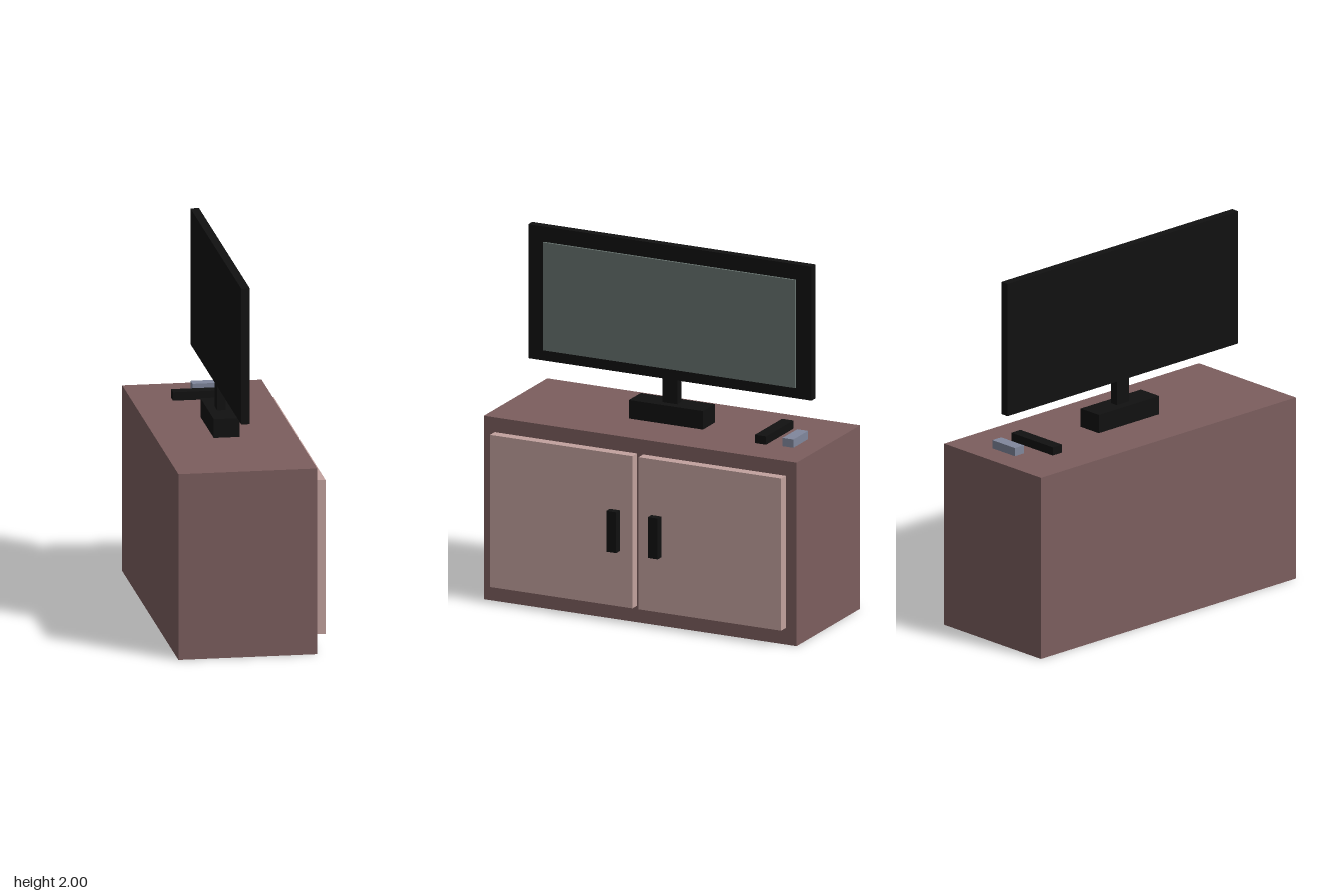
import * as THREE from 'three';

const paint = (color) => new THREE.MeshStandardMaterial({ color });

export function createModel() {
  const model = new THREE.Group();
  model.name = 'televisionOnCabinet';

  const wood = paint(0x7c5e5e);
  const doorWood = paint(0xc2a29e);
  const black = paint(0x111111);
  const glass = paint(0x66726e);
  const greyBlue = paint(0x80879c);

  // Box given by its [min, max] extent on each axis
  function box(name, material, [x0, x1], [y0, y1], [z0, z1], parent = model) {
    const mesh = new THREE.Mesh(new THREE.BoxGeometry(x1 - x0, y1 - y0, z1 - z0), material);
    mesh.position.set((x0 + x1) / 2, (y0 + y1) / 2, (z0 + z1) / 2);
    mesh.name = name;
    parent.add(mesh);
    return mesh;
  }

  // Cabinet with two doors and handles facing +x
  const cabinet = new THREE.Group();
  cabinet.name = 'cabinet';
  model.add(cabinet);
  box('cabinetBody', wood, [-0.425, 0.323], [0, 1.02], [-0.93, 0.93], cabinet);
  for (const [side, s] of [['near', 1], ['far', -1]]) {
    const span = (a, b) => [Math.min(s * a, s * b), Math.max(s * a, s * b)];
    box(side + 'Door', doorWood, [0.323, 0.378], [0.092, 0.938], span(0.018, 0.866), cabinet);
    box(side + 'Handle', black, [0.378, 0.42], [0.4, 0.627], span(0.094, 0.153), cabinet);
  }

  // Television on its stand
  const tv = new THREE.Group();
  tv.name = 'television';
  model.add(tv);
  box('standBase', black, [-0.12, 0.02], [1.02, 1.123], [-0.22, 0.22], tv);
  box('standNeck', black, [-0.073, -0.027], [1.123, 1.255], [-0.044, 0.044], tv);
  box('tvPanel', black, [-0.073, -0.027], [1.255, 2], [-0.842, 0.842], tv);
  box('screen', glass, [-0.027, -0.015], [1.315, 1.915], [-0.75, 0.75], tv);

  // Small items lying on the cabinet top
  box('remoteControl', black, [-0.21, 0.11], [1.02, 1.066], [-0.641, -0.574]);
  box('smallBox', greyBlue, [-0.08, 0.094], [1.02, 1.066], [-0.795, -0.73]);

  return model;
}
